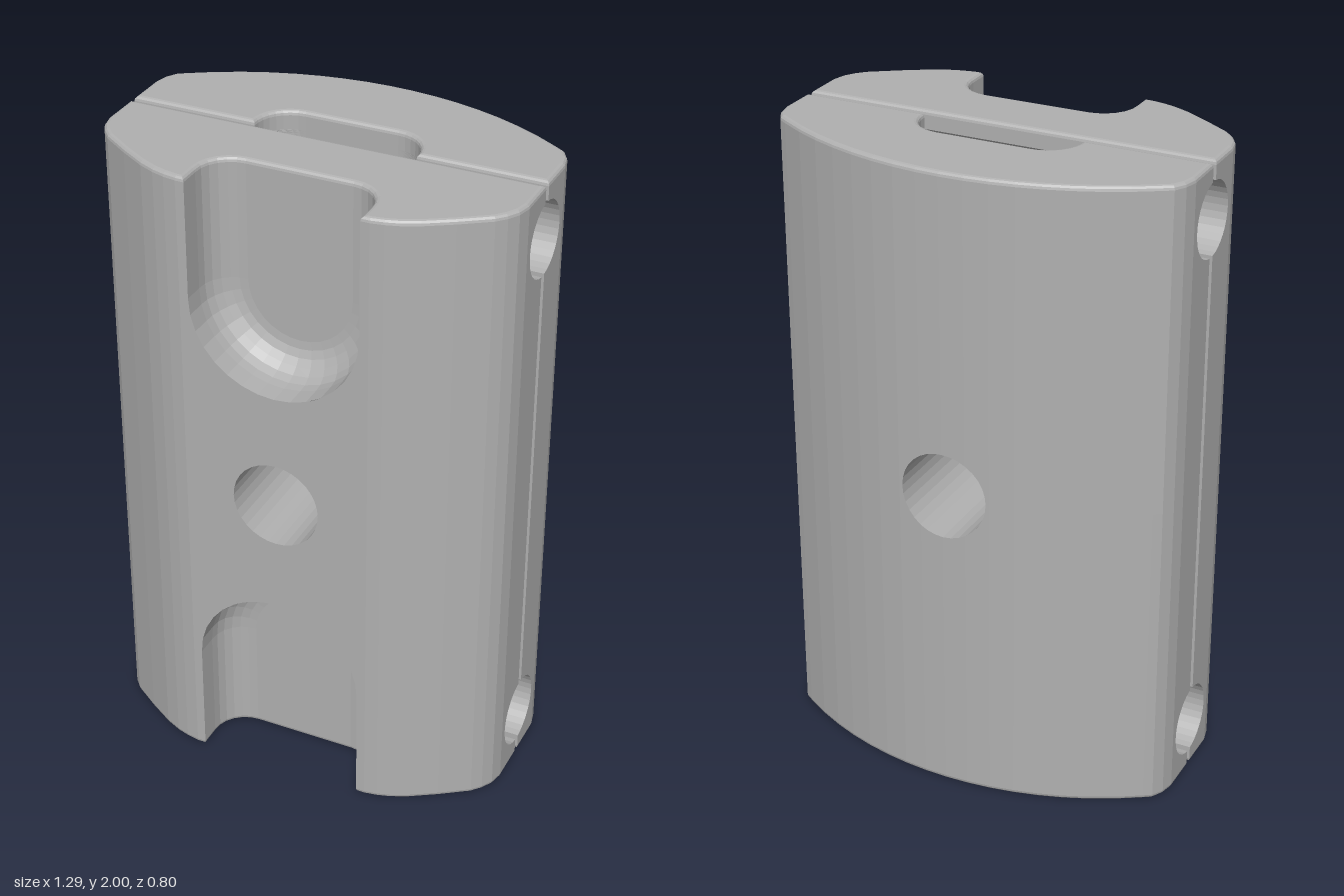
import * as THREE from 'three';

const W = 0.64;        // half width
const GAP = 0.011;     // half of the gap between the two shells
const BEVEL = 0.014;   // rounding of the end rims
const TOP = 2 - BEVEL;
const BORE = 0.136;    // radius of the central bore along z
const GY = 1.83, GR = 0.113; // cross hole along x: height and radius
const SEG = 16;

const lerp = (a, b, t) => a + (b - a) * t;
const circ = (r, x) => Math.sqrt(Math.max(0, r * r - x * x));
const range = (n) => Array.from({ length: n + 1 }, (_, i) => i / n);

// Collects triangles, turned to face `want` and mirrored about y = 1
class Patch {
  constructor() { this.pos = []; }
  tri(a, b, c, want) {
    const [A, B, C] = [a, b, c].map((p) => new THREE.Vector3(...p));
    const n = B.clone().sub(A).cross(C.clone().sub(A));
    if (n.length() < 1e-10) return;
    const mid = A.clone().add(B).add(C).divideScalar(3);
    if (n.dot(new THREE.Vector3(...want(mid))) < 0) [b, c] = [c, b];
    this.pos.push(...a, ...b, ...c);
    for (const p of [a, c, b]) this.pos.push(p[0], 2 - p[1], p[2]);
  }
  quad(a, b, c, d, want) { this.tri(a, b, c, want); this.tri(a, c, d, want); }
  grid(rows, want) {
    for (let i = 0; i + 1 < rows.length; i++)
      for (let j = 0; j + 1 < rows[i].length; j++)
        this.quad(rows[i][j], rows[i + 1][j], rows[i + 1][j + 1], rows[i][j + 1], want);
  }
  poly(pts, place, want) {
    const flat = pts.map((p) => new THREE.Vector2(...p));
    for (const f of THREE.ShapeUtils.triangulateShape(flat, []))
      this.tri(...f.map((i) => place(pts[i])), want);
  }
  mesh(name, material) {
    const g = new THREE.BufferGeometry();
    g.setAttribute('position', new THREE.Float32BufferAttribute(this.pos, 3));
    g.computeVertexNormals();
    const m = new THREE.Mesh(g, material);
    m.name = name;
    return m;
  }
}

// Half width of a pocket at depth d, with a rounded floor edge
const pocketWidth = (p, d) => (d <= p.D - p.f ? p.R : p.R - p.f + circ(p.f, d - (p.D - p.f)));
const pocketDepths = (p, from = 0) => range(8).map((t) => from + (p.D - from) * Math.sin(t * Math.PI / 2));

// Arc of the cross hole inside one shell, as [y, z]
const grooveArc = range(SEG).map((t) => {
  const a = lerp(-1, 1, t) * Math.acos(GAP / GR);
  return [GY + GR * Math.sin(a), GR * Math.cos(a)];
});
const G0 = grooveArc[0][0], G1 = grooveArc[SEG][0];
const grooveDepth = (y) => Math.max(0, circ(GR, y - GY) - GAP);

// Large face over x, leaving out the bore, the pocket and the cross holes
function addFace(patch, knots, zOf, pocket, grooved, dir) {
  const arcs = range(SEG).map((t) => Math.cos(t * Math.PI));
  const xs = [...knots, ...knots.map((x) => -x), ...arcs.map((c) => c * BORE)];
  if (pocket) xs.push(...arcs.map((c) => c * pocket.R));
  xs.sort((a, b) => a - b);
  for (let i = 0; i + 1 < xs.length; i++) {
    const x0 = xs[i], x1 = xs[i + 1], m = Math.abs(x0 + x1) / 2;
    if (x1 - x0 < 1e-6) continue;
    const low = (x) => (m < BORE ? 1 + circ(BORE, x) : 1);
    const inPocket = pocket && m < pocket.R;
    const high = (x) => (inPocket ? pocket.cy - circ(pocket.R, x) : TOP);
    const bands = grooved && !inPocket ? [[low, () => G0], [() => G1, high]] : [[low, high]];
    for (const [lo, hi] of bands)
      patch.quad([x0, lo(x0), zOf(x0)], [x1, lo(x1), zOf(x1)],
        [x1, hi(x1), zOf(x1)], [x0, hi(x0), zOf(x0)], () => [0, 0, dir]);
  }
}

// U-shaped pocket, open at the end; dir is the side it opens to
function addPocket(patch, p, faceZ, dir, grooved) {
  const ys = [TOP, ...(grooved ? grooveArc.map((q) => q[0]).reverse() : []), p.cy];
  const stations = [
    ...ys.map((y) => ({ y, at: (w) => [w, y] })),
    ...range(SEG).slice(1, -1).map((t) => ({
      y: 0, at: (w) => [w * Math.cos(t * Math.PI), p.cy - w * Math.sin(t * Math.PI)],
    })),
    ...ys.slice().reverse().map((y) => ({ y, at: (w) => [-w, y] })),
  ];
  const rows = stations.map(({ y, at }) => {
    const ds = pocketDepths(p, grooved ? grooveDepth(y) : 0);
    const row = ds.map((d) => [...at(pocketWidth(p, d)), faceZ - dir * d]);
    return [...row, [...at(0), faceZ - dir * p.D]];
  });
  patch.grid(rows, (m) => [-m.x, Math.max(0, p.cy - m.y), dir * 0.3]);
}

// End cap with a rounded rim, from a closed outline in [x, z]
function addCap(patch, loop) {
  const n = loop.length;
  const sign = THREE.ShapeUtils.area(loop.map((p) => new THREE.Vector2(...p))) > 0 ? 1 : -1;
  const normal = (a, b) => {
    const l = Math.hypot(b[0] - a[0], b[1] - a[1]);
    return [-(b[1] - a[1]) / l * sign, (b[0] - a[0]) / l * sign];
  };
  const inset = (k) => loop.map((p, i) => {
    const u = normal(loop[(i + n - 1) % n], p), v = normal(p, loop[(i + 1) % n]);
    const s = k / Math.max(0.4, 1 + u[0] * v[0] + u[1] * v[1]);
    return [p[0] + (u[0] + v[0]) * s, p[1] + (u[1] + v[1]) * s];
  });
  const rows = range(3).map((t) => {
    const a = t * Math.PI / 2;
    const ring = inset(BEVEL * (1 - Math.cos(a))).map(([x, z]) => [x, TOP + BEVEL * Math.sin(a), z]);
    return [...ring, ring[0]];
  });
  patch.grid(rows, () => [0, 1, 0]);
  patch.poly(inset(BEVEL), ([x, z]) => [x, 2, z], () => [0, 1, 0]);
}

// One shell, its outer side towards +z; profile runs from the middle to the side
function makeShell(name, profile, outerPocket, innerPocket, material) {
  const group = new THREE.Group();
  group.name = name;
  const part = (label, build) => {
    const patch = new Patch();
    build(patch);
    group.add(patch.mesh(label, material));
  };
  const knots = profile.map((p) => p[0]);
  const zOf = (x) => {
    const a = Math.min(Math.abs(x), W);
    const i = Math.max(1, knots.findIndex((k) => k >= a - 1e-9));
    const [p, q] = [profile[i - 1], profile[i]];
    return lerp(p[1], q[1], (a - p[0]) / (q[0] - p[0]));
  };
  const rim = profile[0][1], sideZ = profile[profile.length - 1][1];

  part('outerFace', (p) => addFace(p, knots, zOf, outerPocket, false, 1));
  part('innerFace', (p) => addFace(p, [W], () => GAP, innerPocket, true, -1));
  part('sideFaces', (p) => {
    const outline = [[GAP, 1], ...grooveArc.map(([y, z]) => [z, y]), [GAP, TOP], [sideZ, TOP], [sideZ, 1]];
    for (const s of [-1, 1]) p.poly(outline, ([z, y]) => [s * W, y, z], () => [s, 0, 0]);
  });
  part('centralBore', (p) => p.grid(range(SEG).map((t) => {
    const x = BORE * Math.cos(t * Math.PI), y = 1 + BORE * Math.sin(t * Math.PI);
    return [[x, y, GAP], [x, y, zOf(x)]];
  }), (m) => [-m.x, 1 - m.y, 0]));
  part('crossHoles', (p) => {
    for (const s of [-1, 1]) p.grid(grooveArc.map(([y, z]) => {
      const end = innerPocket ? pocketWidth(innerPocket, z - GAP) : 0;
      return [[s * W, y, z], [s * end, y, z]];
    }), (m) => [0, GY - m.y, -m.z]);
  });
  if (outerPocket) part('outerPockets', (p) => addPocket(p, outerPocket, rim, 1, false));
  if (innerPocket) part('innerPockets', (p) => addPocket(p, innerPocket, GAP, -1, true));
  part('endCaps', (p) => {
    const right = [];
    if (innerPocket) for (const d of pocketDepths(innerPocket).reverse()) right.push([pocketWidth(innerPocket, d), GAP + d]);
    right.push([W, GAP]);
    for (const q of profile.slice().reverse()) if (!outerPocket || q[0] > outerPocket.R) right.push(q);
    if (outerPocket) for (const d of pocketDepths(outerPocket)) right.push([pocketWidth(outerPocket, d), rim - d]);
    const left = right.filter((q) => q[0] > 1e-6).map(([x, z]) => [-x, z]).reverse();
    addCap(p, [...right, ...left]);
  });
  return group;
}

export function createModel() {
  const grey = new THREE.MeshStandardMaterial({ color: 0xb0b0b0 });
  grey.name = 'grey';

  const corner = [[0.61, 0.212], [0.63, 0.178], [W, 0.135]];
  const frontProfile = [[0, 0.389], [0.29, 0.389], [0.33, 0.382], [0.37, 0.37], [0.42, 0.347],
    [0.5, 0.298], [0.585, 0.24], ...corner];
  const backProfile = [...range(8).map((t) => [0.585 * t, 0.403 - 1.067 + circ(1.067, 0.585 * t)]), ...corner];

  const front = makeShell('frontShell', frontProfile, { R: 0.263, D: 0.174, f: 0.1, cy: 1.625 }, null, grey);
  const back = makeShell('backShell', backProfile, null, { R: 0.25, D: 0.114, f: 0.105, cy: 1.625 }, grey);
  back.rotation.y = Math.PI;

  // The whole clamp sits slightly turned
  const body = new THREE.Group();
  body.name = 'clampBody';
  body.add(front, back);
  body.rotation.y = 0.021;
  body.position.z = 0.003;

  const model = new THREE.Group();
  model.name = 'twoPartClamp';
  model.add(body);
  return model;
}
